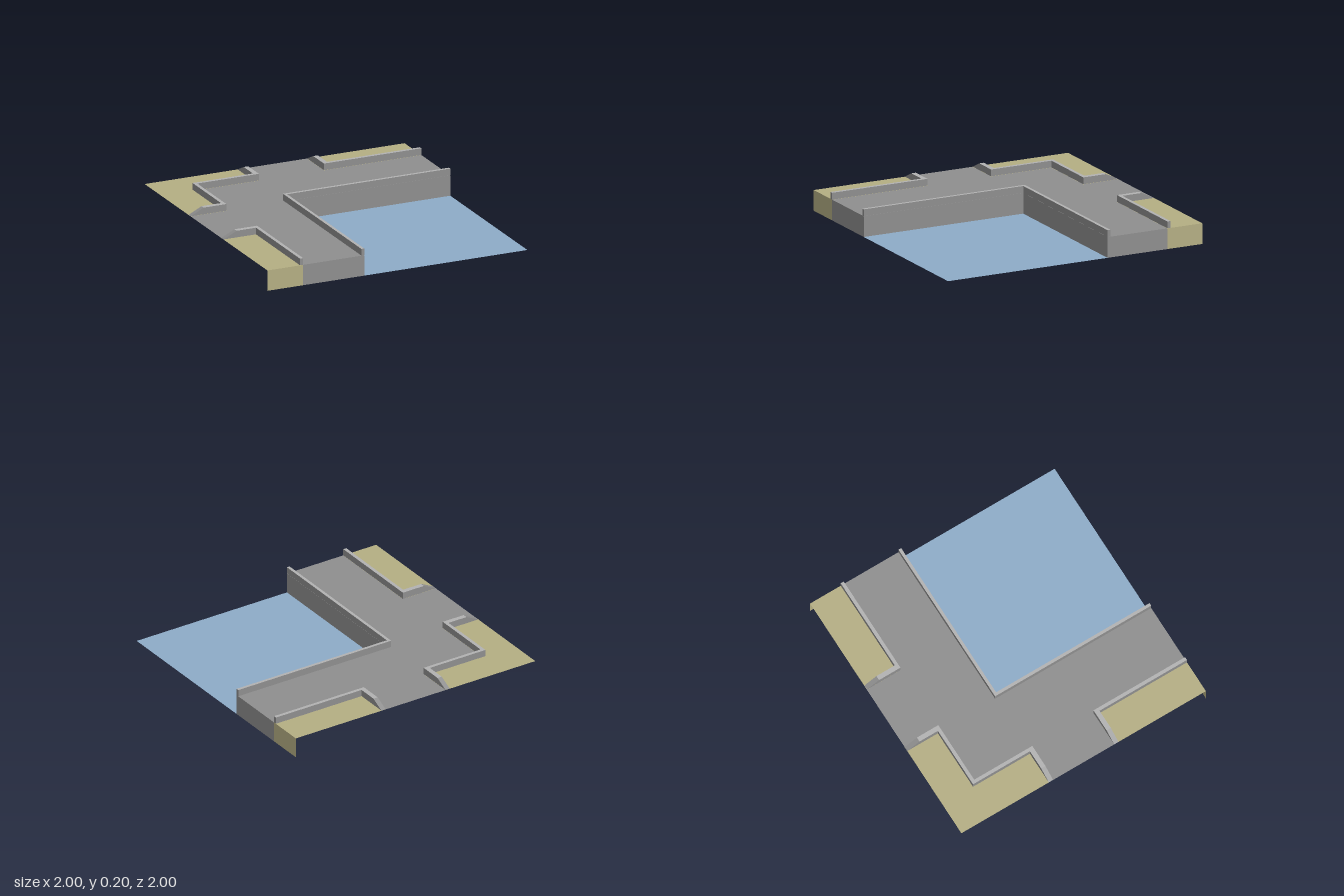
import * as THREE from 'three';

const DECK = 0.15, TOP = 0.2;

function material(name, color, side = THREE.FrontSide) {
  const m = new THREE.MeshStandardMaterial({ color, side });
  m.name = name;
  return m;
}

// plan outline given as [x, z] pairs
const plan = (pts) => new THREE.Shape(pts.map(([x, z]) => new THREE.Vector2(x, -z)));
// mirror a plan across the diagonal
const swap = (pts) => pts.map(([x, z]) => [z, x]);

export function createModel() {
  const group = new THREE.Group();
  const paving = material('paving grey', 0x8e8e8e, THREE.DoubleSide);
  const kerbTop = material('kerb light grey', 0xb2b2b2);
  const sand = material('sand', 0xb4ae83, THREE.DoubleSide);
  const water = material('water blue', 0x8dabc7, THREE.DoubleSide);

  const add = (name, geo, mat) => {
    const mesh = new THREE.Mesh(geo, mat);
    mesh.name = name;
    group.add(mesh);
    return mesh;
  };
  const sheet = (name, pts, y, mat) =>
    add(name, new THREE.ShapeGeometry(plan(pts)).rotateX(-Math.PI / 2).translate(0, y, 0), mat);
  const kerb = (name, pts) => add(name,
    new THREE.ExtrudeGeometry(plan(pts), { depth: TOP - DECK - 0.001, bevelEnabled: false })
      .rotateX(-Math.PI / 2).translate(0, DECK + 0.001, 0), [kerbTop, paving]);
  // matching upright sheets facing +z and +x
  const wallPair = (name, from, to, at, mat) => {
    const make = () => new THREE.PlaneGeometry(to - from, DECK);
    const mid = (from + to) / 2;
    add(name + 'Front', make().translate(mid, DECK / 2, at), mat);
    add(name + 'Side', make().rotateY(Math.PI / 2).translate(at, DECK / 2, mid), mat);
  };

  const e = -0.255;            // quay edge
  const o = -0.75, i = -0.725; // outer kerb, outside and inside edges
  const a = 0.25, b = 0.285;   // street kerb, inside and outside edges
  const r = -0.9;              // ramp start

  // water basin
  sheet('water', [[e, e], [1, e], [1, 1], [e, 1]], 0, water);

  // paved walkway with two street openings
  sheet('walkway', [[-1, -a], [i, -a], [i, i], [-a, i], [-a, -1], [a, -1], [a, i],
    [1, i], [1, e], [e, e], [e, 1], [i, 1], [i, a], [-1, a]], DECK, paving);

  // sand plots
  sheet('cornerSand', [[-1, -1], [-a, -1], [-a, i], [i, i], [i, -a], [-1, -a]], DECK, sand);
  const sidePlot = [[-1, a], [i, a], [i, 1], [-1, 1]];
  sheet('frontSand', sidePlot, DECK, sand);
  sheet('backSand', swap(sidePlot), DECK, sand);

  // outer and quay walls
  wallPair('sandWall', -1, i, 1, sand);
  wallPair('walkwayWall', i, e, 1, paving);
  wallPair('quayWall', e, 1, e, paving);

  // kerbs
  const q = e - 0.022;
  kerb('quayKerb', [[q, q], [1, q], [1, e], [e, e], [e, 1], [q, 1]]);
  kerb('cornerKerb', [[r, -a], [i, -a], [i, i], [-a, i], [-a, r], [-b, r], [-b, o],
    [o, o], [o, -b], [r, -b]]);
  const sideKerb = [[r, a], [i, a], [i, 1], [o, 1], [o, b], [r, b]];
  kerb('frontKerb', sideKerb);
  kerb('backKerb', swap(sideKerb));

  // sloping kerb ends at both streets
  const wedge = new THREE.Shape([new THREE.Vector2(-1, DECK + 0.001),
    new THREE.Vector2(r, DECK + 0.001), new THREE.Vector2(r, TOP)]);
  for (const start of [a, -b]) {
    for (const turn of [0, -Math.PI / 2]) {
      add('kerbRamp', new THREE.ExtrudeGeometry(wedge, { depth: b - a, bevelEnabled: false })
        .translate(0, 0, start).rotateY(turn), paving);
    }
  }
  return group;
}
